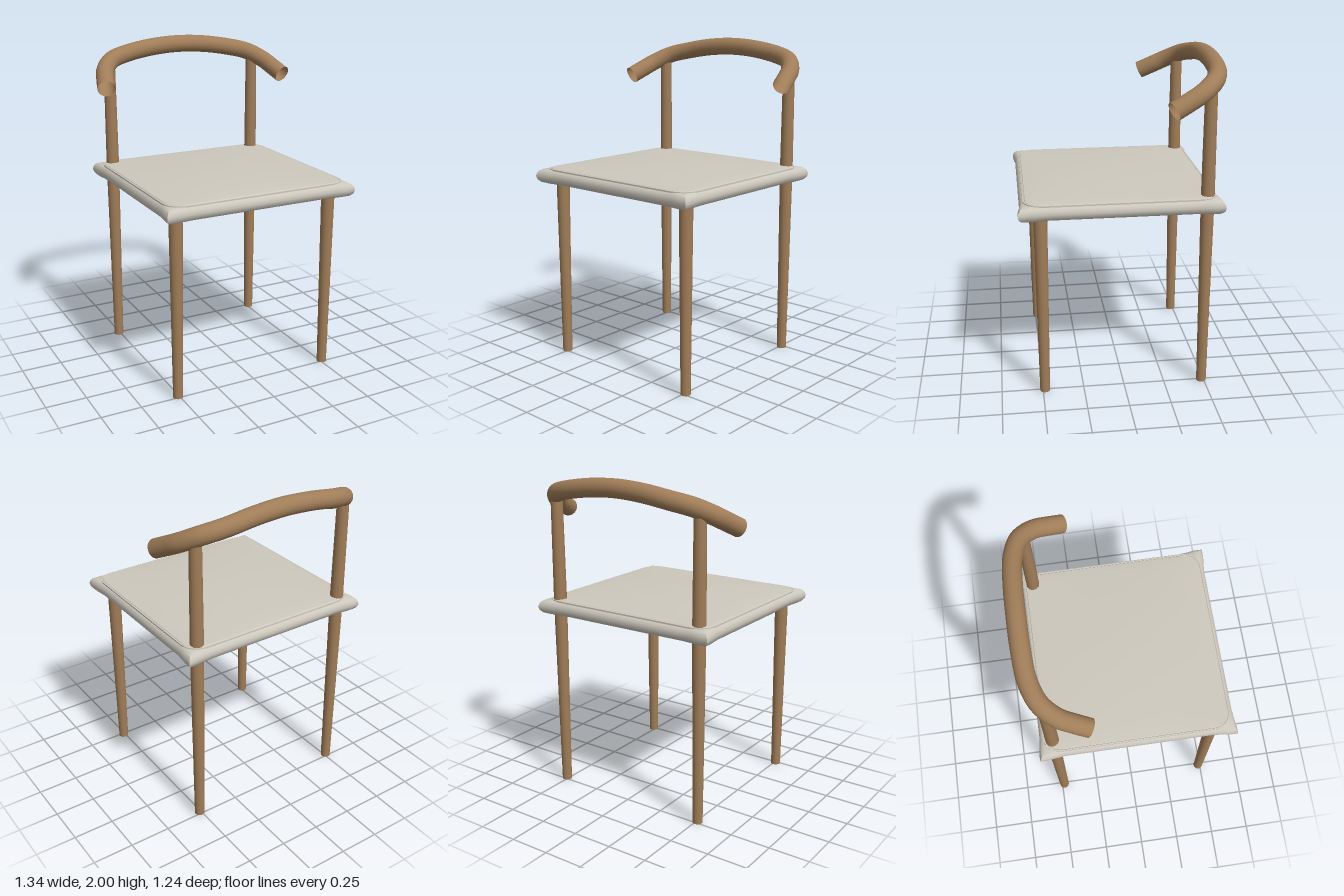
import * as THREE from 'three';
import { toCreasedNormals } from 'three/addons/utils/BufferGeometryUtils.js';

// Skin closed rings of points, listed from the underside up and inwards
function loft(rings, crease) {
  const n = rings[0].length, index = [];
  for (let r = 0; r < rings.length - 1; r++) {
    for (let i = 0; i < n; i++) {
      const a = r * n + i, b = r * n + (i + 1) % n;
      index.push(a, a + n, b, b, a + n, b + n);
    }
  }
  const geo = new THREE.BufferGeometry();
  geo.setAttribute('position', new THREE.Float32BufferAttribute(rings.flat(2), 3));
  geo.setIndex(index);
  return toCreasedNormals(geo, crease);
}

const HALF_W = 0.617, HALF_D = 0.595, SEAT_Z = 0.022;

// Square outline whose corners flare out a little beyond the straight sides
function frameRing(inset, y, scale = 1) {
  const pts = [], steps = 24;
  for (let side = 0; side < 4; side++) {
    for (let i = 0; i < steps; i++) {
      const t = -1 + 2 * i / steps;
      const h = 1 - 0.02 * (1 - THREE.MathUtils.smoothstep(Math.abs(t), 0.76, 0.93));
      const [x, z] = [[h, t], [-t, h], [-h, -t], [t, -h]][side];
      pts.push([x * (HALF_W - inset) * scale, y, z * (HALF_D - inset) * scale + SEAT_Z]);
    }
  }
  return pts;
}

// Soft, slightly off-centre swelling of the cushion
const swell = (x, z) => {
  const edge = Math.max(0, (1 - (x / 0.58) ** 2) * (1 - ((z - SEAT_Z) / 0.56) ** 2));
  return 0.025 * edge ** 0.7 * Math.exp(-((x + 0.1) ** 2) * 0.8 - ((z - 0.2) ** 2) * 0.8);
};

// Rounded square outline for the cushion
function cushionRing(inset, y, scale = 1) {
  const pts = [], r = 0.1 - inset, w = 0.585 - inset, d = 0.562 - inset;
  for (let c = 0; c < 4; c++) {
    const sx = [1, -1, -1, 1][c], sz = [1, 1, -1, -1][c];
    const corner = [];
    for (let i = 0; i <= 4; i++) {
      const a = (c + i / 4) * Math.PI / 2;
      corner.push([sx * (w - r) + r * Math.cos(a), sz * (d - r) + r * Math.sin(a)]);
    }
    // straight run to the next corner
    const [ex, ez] = corner[4];
    const nx = c % 2 === 0 ? -ex : ex, nz = c % 2 === 0 ? ez : -ez;
    for (let i = 1; i < 12; i++) corner.push([ex + (nx - ex) * i / 12, ez + (nz - ez) * i / 12]);
    for (const [px, pz] of corner) {
      const x = px * scale, z = pz * scale + SEAT_Z;
      pts.push([x, y + swell(x, z), z]);
    }
  }
  return pts;
}

export function createModel() {
  const model = new THREE.Group();
  const wood = new THREE.MeshStandardMaterial({ color: 0xa07d58, side: THREE.DoubleSide });
  wood.name = 'wood';
  const fabric = new THREE.MeshStandardMaterial({ color: 0xcdc8bd });
  fabric.name = 'fabric';

  const add = (name, geo, mat, x = 0, y = 0, z = 0) => {
    const mesh = new THREE.Mesh(geo, mat);
    mesh.name = name;
    mesh.position.set(x, y, z);
    model.add(mesh);
  };

  // Seat with a half-round mitred edge and a flat underside
  add('seatFrame', loft([
    frameRing(0.045, 1.122, 0), frameRing(0.045, 1.122), frameRing(0.022, 1.13),
    frameRing(0.006, 1.147), frameRing(0, 1.168), frameRing(0.005, 1.188),
    frameRing(0.016, 1.204), frameRing(0.032, 1.212), frameRing(0.032, 1.212, 0),
  ], 0.75), fabric);

  // Cushion with a thin stepped seam round its edge
  const rings = [
    cushionRing(0, 1.208), cushionRing(0, 1.217), cushionRing(0.007, 1.218),
    cushionRing(0.01, 1.215), cushionRing(0.014, 1.219),
  ];
  for (const s of [0.93, 0.85, 0.75, 0.62, 0.48, 0.32, 0.16, 0]) rings.push(cushionRing(0.014, 1.22, s));
  add('seatCushion', loft(rings, 0.6), fabric);

  // Tapered legs; the back pair carries on up to the rail
  for (const [side, x] of [['left', 0.51], ['right', -0.51]]) {
    add(side + 'FrontLeg', new THREE.CylinderGeometry(0.041, 0.03, 1.15, 24), wood, x, 0.575, 0.488);
    add(side + 'BackLeg', new THREE.CylinderGeometry(0.04, 0.03, 1.2, 24), wood, x, 0.6, -0.485);
    add(side + 'BackPost', new THREE.CylinderGeometry(0.036, 0.04, 0.66, 24), wood, x, 1.53, -0.485);
  }

  // Bent rail with open ends that sweep forward and down
  const half = [
    [0.618, 1.743, -0.255], [0.592, 1.785, -0.34], [0.562, 1.826, -0.42],
    [0.485, 1.876, -0.505], [0.36, 1.907, -0.55], [0.18, 1.935, -0.564],
  ];
  const path = [
    ...half.map(([x, y, z]) => [-x, y, z]), [0, 1.945, -0.566], ...half.slice().reverse(),
  ].map(p => new THREE.Vector3(...p));
  add('backRail', new THREE.TubeGeometry(new THREE.CatmullRomCurve3(path), 96, 0.055, 24), wood);

  return model;
}
